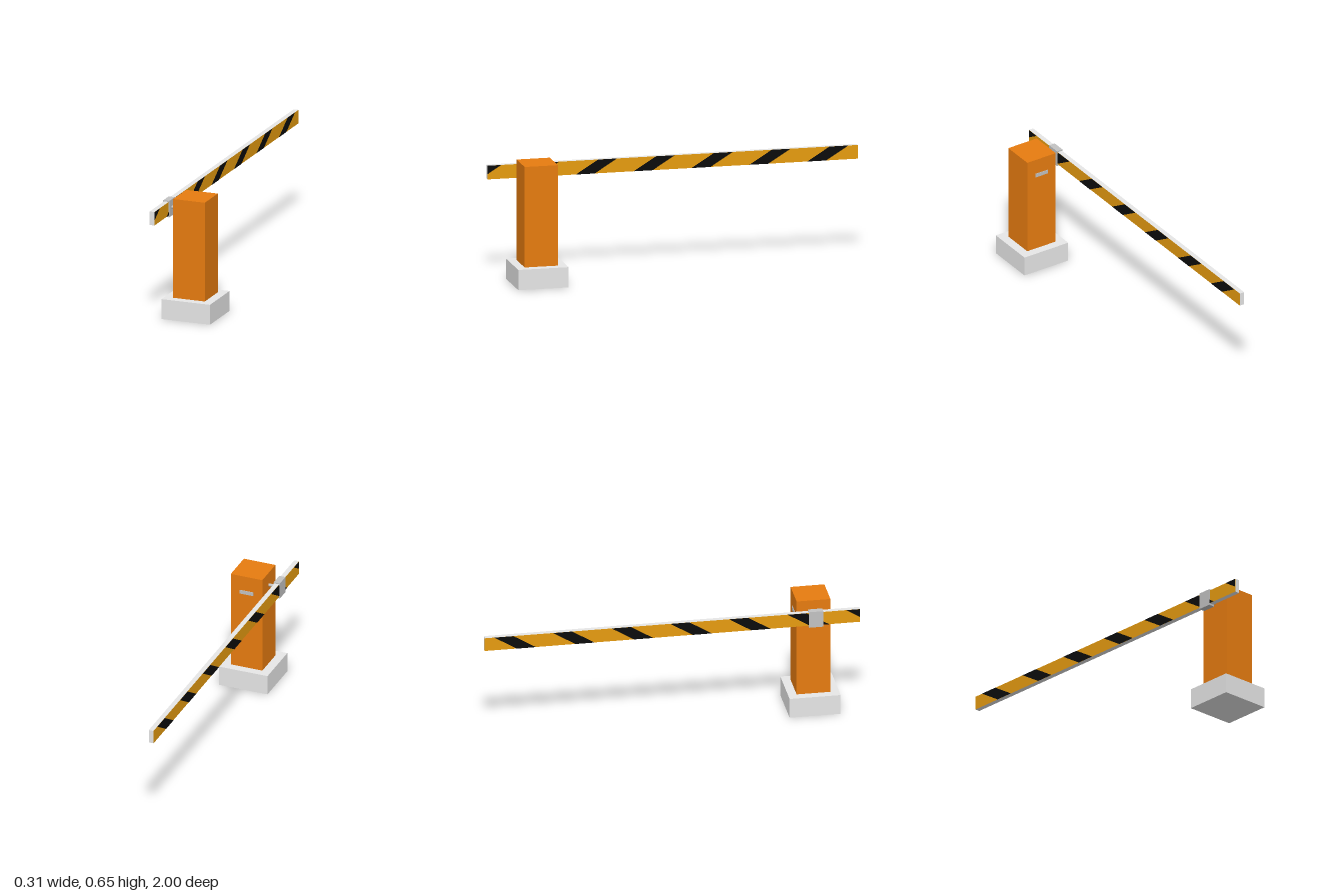
import * as THREE from 'three';

const material = (name, color) => {
  const m = new THREE.MeshStandardMaterial({ color });
  m.name = name;
  return m;
};

export function createModel() {
  const group = new THREE.Group();
  group.name = 'barrierGate';

  const concrete = material('light grey', 0xe7e7e7);
  const orange = material('orange', 0xe77c10);
  const yellow = material('yellow', 0xe79c10);
  const black = material('black', 0x0c0c0c);
  const metal = material('metal grey', 0xc2c2c2);

  const add = (name, geometry, mat) => {
    const mesh = new THREE.Mesh(geometry, mat);
    mesh.name = name;
    group.add(mesh);
    return mesh;
  };
  // Box given by its lower and upper corners
  const box = (name, [x0, y0, z0], [x1, y1, z1], mat) => {
    const g = new THREE.BoxGeometry(x1 - x0, y1 - y0, z1 - z0);
    g.translate((x0 + x1) / 2, (y0 + y1) / 2, (z0 + z1) / 2);
    return add(name, g, mat);
  };

  // Foundation, housing and the small plate on its back
  box('base', [-0.123, 0, 0.629], [0.152, 0.109, 0.901], concrete);
  box('post', [-0.075, 0.109, 0.675], [0.104, 0.65, 0.855], orange);
  box('backPlate', [-0.024, 0.545, 0.672], [0.053, 0.566, 0.677], metal);

  // Pivot shaft and the clamp that grips the arm
  const shaft = new THREE.CylinderGeometry(0.008, 0.008, 0.06, 24);
  shaft.rotateZ(Math.PI / 2).translate(-0.095, 0.577, 0.765);
  add('pivotShaft', shaft, metal);
  box('armClamp', [-0.153, 0.53, 0.727], [-0.118, 0.62, 0.803], metal);

  // Arm: yellow sides, light grey edges and ends
  const bottom = 0.54, top = 0.614, armLeft = -0.122, armRight = -0.149;
  box('arm', [armRight, bottom, -1], [armLeft, top, 1],
    [yellow, yellow, concrete, concrete, concrete, concrete]);

  // Slanted stripes on both sides; the first is cut off by the arm's end
  const pitch = 0.3125, width = 0.102, slant = 0.12;
  for (const side of [1, -1]) {
    for (let i = 0; i < 7; i++) {
      const z = 1.148 - i * pitch;
      const cutY = bottom + (top - bottom) * (z - width - 1) / slant;
      const outline = i === 0
        ? [[1, cutY], [z - slant - width, top], [1, top]]
        : [[z, bottom], [z - width, bottom], [z - width - slant, top], [z - slant, top]];
      const shape = new THREE.Shape(outline.map(([pz, py]) => new THREE.Vector2(-side * pz, py)));
      const g = new THREE.ShapeGeometry(shape);
      g.rotateY(side * Math.PI / 2);
      g.translate(side > 0 ? armLeft + 0.001 : armRight - 0.001, 0, 0);
      add('armStripe', g, black);
    }
  }
  return group;
}
